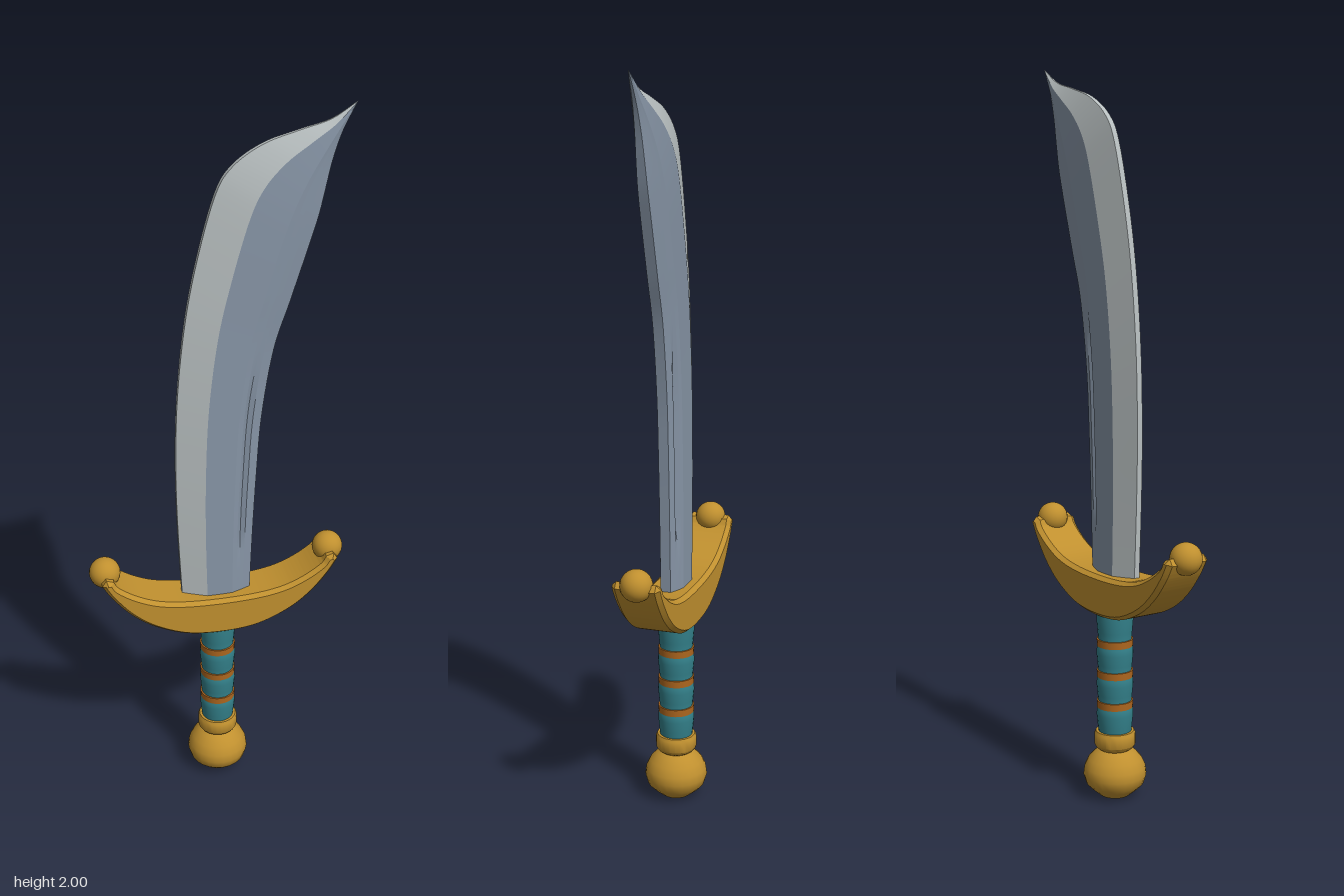
import * as THREE from 'three';
import { toCreasedNormals } from 'three/addons/utils/BufferGeometryUtils.js';

const mat = (name, color) => {
  const m = new THREE.MeshStandardMaterial({ color });
  m.name = name;
  return m;
};

const vecs = (list) => list.map(([x, y]) => new THREE.Vector2(x, y));

function addMesh(parent, name, geometry, material) {
  const m = new THREE.Mesh(geometry, material);
  m.name = name;
  parent.add(m);
  return m;
}

// Cutting edge and spine of the blade, matched point by point up to the tip
const edgeCurve = new THREE.SplineCurve(vecs([
  [-0.1, 0.58], [-0.112, 0.85], [-0.115, 1.05], [-0.108, 1.25], [-0.087, 1.45], [-0.055, 1.62],
  [-0.008, 1.79], [0.035, 1.86], [0.11, 1.91], [0.2, 1.938], [0.28, 1.96], [0.345, 2.0]]));
const spineCurve = new THREE.SplineCurve(vecs([
  [0.088, 0.58], [0.095, 0.8], [0.104, 1.0], [0.116, 1.18], [0.145, 1.37], [0.185, 1.5],
  [0.225, 1.63], [0.252, 1.72], [0.268, 1.79], [0.284, 1.86], [0.308, 1.93], [0.345, 2.0]]));

// Closed blade section at t, front side from edge to spine, then back again
function bladeSection(t) {
  const a = edgeCurve.getPoint(t), b = spineCurve.getPoint(t);
  const thin = t < 0.5 ? 1 : 1 - ((t - 0.5) / 0.5) ** 2;
  const groove = 0.009 * THREE.MathUtils.smoothstep(t, 0.06, 0.1)
    * (1 - THREE.MathUtils.smoothstep(t, 0.28, 0.37));
  const half = [[0, 0.008], [0.35, 0.034], [0.72, 0.033], [0.78, 0.029],
    [0.83, 0.026 - groove], [0.89, 0.022], [1, 0.014]];
  const side = (s) => half.map(([f, z]) => [
    a.x + (b.x - a.x) * f, a.y + (b.y - a.y) * f, s * z * thin]);
  return [...side(1), ...side(-1).reverse()];
}

// Selected facets of the blade, smooth along the length and sharp between facets
function bladeFacets(facets) {
  const steps = 66, pos = [], index = [];
  const sections = Array.from({ length: steps + 1 }, (_, i) => bladeSection(i / steps));
  for (const f of facets) {
    const base = pos.length / 3;
    for (const s of sections) pos.push(...s[f], ...s[(f + 1) % s.length]);
    for (let i = 0; i < steps; i++) {
      const k = base + i * 2;
      index.push(k, k + 1, k + 3, k, k + 3, k + 2);
    }
  }
  const g = new THREE.BufferGeometry();
  g.setAttribute('position', new THREE.Float32BufferAttribute(pos, 3));
  g.setIndex(index);
  g.computeVertexNormals();
  return g;
}

// Upswept crescent with chamfered rims
function guardGeometry() {
  const mirror = (p) => p.map(([x, y]) => [-x, y]).reverse();
  const lower = [[0.332, 0.725], [0.305, 0.68], [0.255, 0.62], [0.19, 0.57], [0.1, 0.532]];
  const upper = [[0.285, 0.712], [0.235, 0.678], [0.175, 0.653], [0.1, 0.64]];
  const shape = new THREE.Shape();
  shape.moveTo(-0.332, 0.725);
  shape.splineThru(vecs([...mirror(lower).reverse().slice(1), [0, 0.522], ...lower.slice().reverse()]));
  shape.lineTo(0.32, 0.742);
  shape.lineTo(0.3, 0.735);
  shape.splineThru(vecs([...upper, [0, 0.636], ...mirror(upper), [-0.3, 0.735]]));
  shape.lineTo(-0.32, 0.742);
  const g = new THREE.ExtrudeGeometry(shape, {
    depth: 0.108, curveSegments: 36, bevelEnabled: true, bevelSegments: 1,
    bevelThickness: 0.012, bevelSize: 0.01, bevelOffset: -0.01 });
  g.translate(0, 0, -0.054);
  return toCreasedNormals(g, 0.5);
}

export function createModel() {
  const gold = mat('gold', 0xc0902f);
  const teal = mat('teal leather', 0x33808a);
  const copper = mat('copper binding', 0xb0681f);
  const steel = mat('steel', 0x8795a6);
  const bright = mat('bright edge steel', 0xb8bfc0);

  const model = new THREE.Group();
  model.name = 'curvedSword';

  // Blade: 14 facets around, bright ones next to the cutting edge
  const blade = new THREE.Group();
  blade.name = 'blade';
  model.add(blade);
  addMesh(blade, 'cuttingBevel', bladeFacets([0, 12, 13]), bright);
  addMesh(blade, 'bladeBody', bladeFacets([1, 2, 3, 4, 5, 6, 7, 8, 9, 10, 11]), steel);

  // Guard with ball ends
  addMesh(model, 'guard', guardGeometry(), gold);
  for (const [side, name] of [[1, 'leftGuardBall'], [-1, 'rightGuardBall']]) {
    const ball = addMesh(model, name, new THREE.SphereGeometry(0.043, 24, 16), gold);
    ball.position.set(side * 0.317, 0.735, 0);
  }

  // Grip: swelling leather sections between copper bands
  const stops = [0.18, 0.265, 0.352, 0.44, 0.54];
  const gripProfile = [];
  for (let i = 0; i < 4; i++) {
    const y0 = stops[i], h = stops[i + 1] - y0;
    for (const [f, r] of [[0, 0.045], [0.3, 0.048], [0.65, 0.051], [0.85, 0.05]])
      gripProfile.push([r, y0 + h * f]);
  }
  gripProfile.push([0.05, 0.54]);
  addMesh(model, 'grip', new THREE.LatheGeometry(vecs(gripProfile), 24), teal);
  stops.slice(1, 4).forEach((y, i) => {
    const band = addMesh(model, 'gripBand' + (i + 1), new THREE.CylinderGeometry(0.0505, 0.0495, 0.02, 24), copper);
    band.position.y = y;
  });

  // Pommel and collar
  const pommel = new THREE.LatheGeometry(vecs([
    [0, 0], [0.042, 0.002], [0.066, 0.022], [0.08, 0.036], [0.088, 0.062], [0.085, 0.084],
    [0.074, 0.107], [0.056, 0.126], [0.044, 0.134], [0.052, 0.14], [0.057, 0.148],
    [0.057, 0.18], [0.053, 0.187], [0, 0.187]]), 24);
  addMesh(model, 'pommel', toCreasedNormals(pommel, 0.6), gold);

  return model;
}
